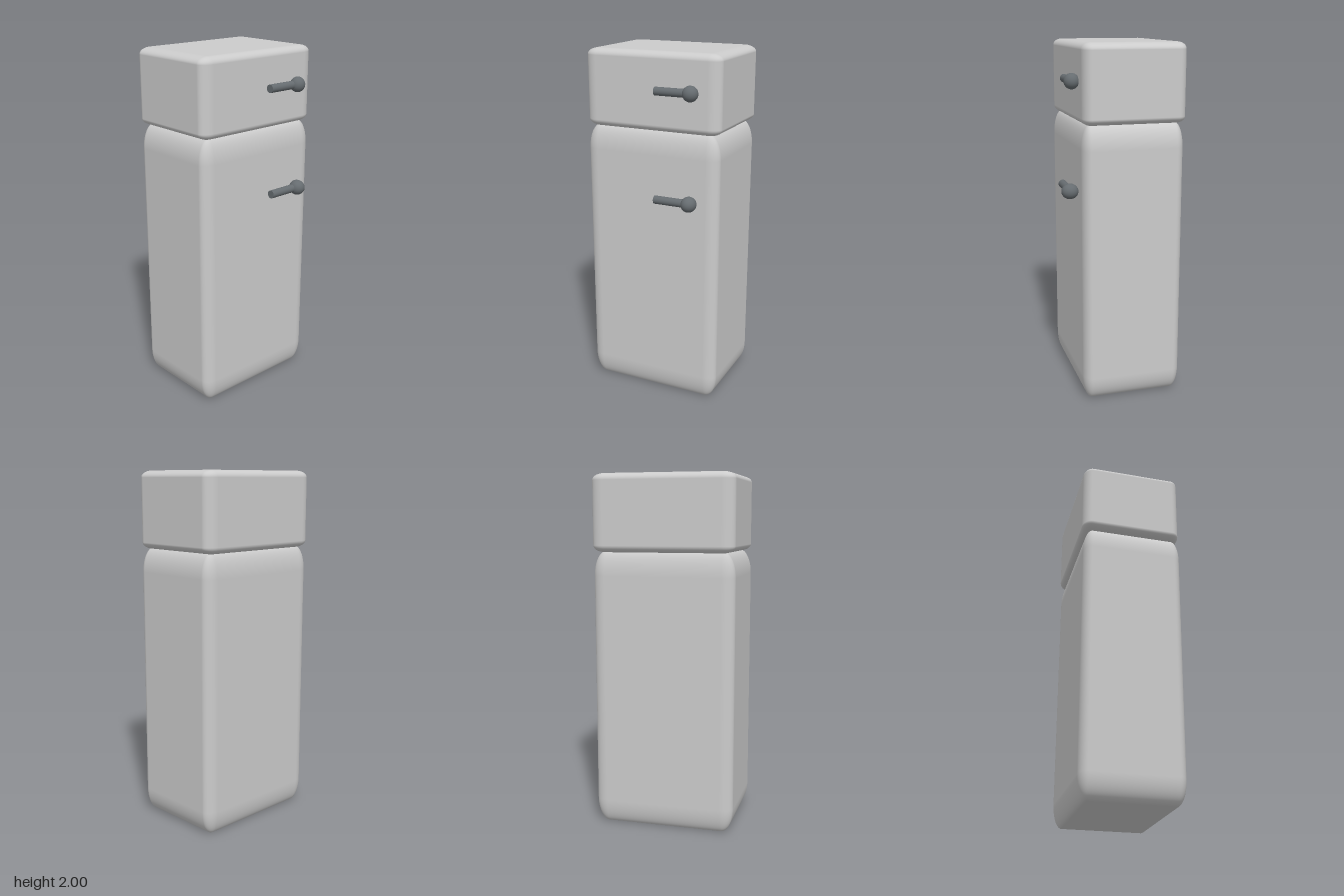
import * as THREE from 'three';
import { RoundedBoxGeometry } from 'three/addons/geometries/RoundedBoxGeometry.js';

export function createModel() {
  const group = new THREE.Group();
  const bodyMat = new THREE.MeshStandardMaterial({ color: 0xcccccc });
  const handleMat = new THREE.MeshStandardMaterial({ color: 0x666c70 });

  // Softly rounded compartment: a rounded cube stretched to the given bounds
  function compartment(name, [x0, x1], [y0, y1], [z0, z1]) {
    const geo = new RoundedBoxGeometry(2, 2, 2, 8, 0.175);
    geo.scale((x1 - x0) / 2, (y1 - y0) / 2, (z1 - z0) / 2);
    const mesh = new THREE.Mesh(geo, bodyMat);
    mesh.name = name;
    mesh.position.set((x0 + x1) / 2, (y0 + y1) / 2, (z0 + z1) / 2);
    group.add(mesh);
  }
  compartment('fridgeCompartment', [-0.404, 0.4], [0, 1.577], [-0.326, 0.243]);
  compartment('freezerCompartment', [-0.403, 0.403], [1.569, 2], [-0.335, 0.24]);

  // Door handle: horizontal bar ending in a ball
  function handle(name, y, { start, ballX, barZ, ballZ, ballDepth }) {
    const part = new THREE.Group();
    part.name = name;
    const bar = new THREE.Mesh(new THREE.CylinderGeometry(0.023, 0.023, ballX - start, 32), handleMat);
    bar.name = 'handleBar';
    bar.rotation.z = Math.PI / 2;
    bar.position.set((start + ballX) / 2, y, barZ);
    const ball = new THREE.Mesh(
      new THREE.SphereGeometry(1, 32, 20).scale(0.043, 0.043, ballDepth), handleMat);
    ball.name = 'handleBall';
    ball.position.set(ballX, y, ballZ);
    part.add(bar, ball);
    group.add(part);
  }
  handle('freezerHandle', 1.797, { start: 0.043, ballX: 0.251, barZ: 0.265, ballZ: 0.272, ballDepth: 0.042 });
  handle('fridgeHandle', 1.203, { start: 0.047, ballX: 0.254, barZ: 0.283, ballZ: 0.288, ballDepth: 0.047 });

  return group;
}
